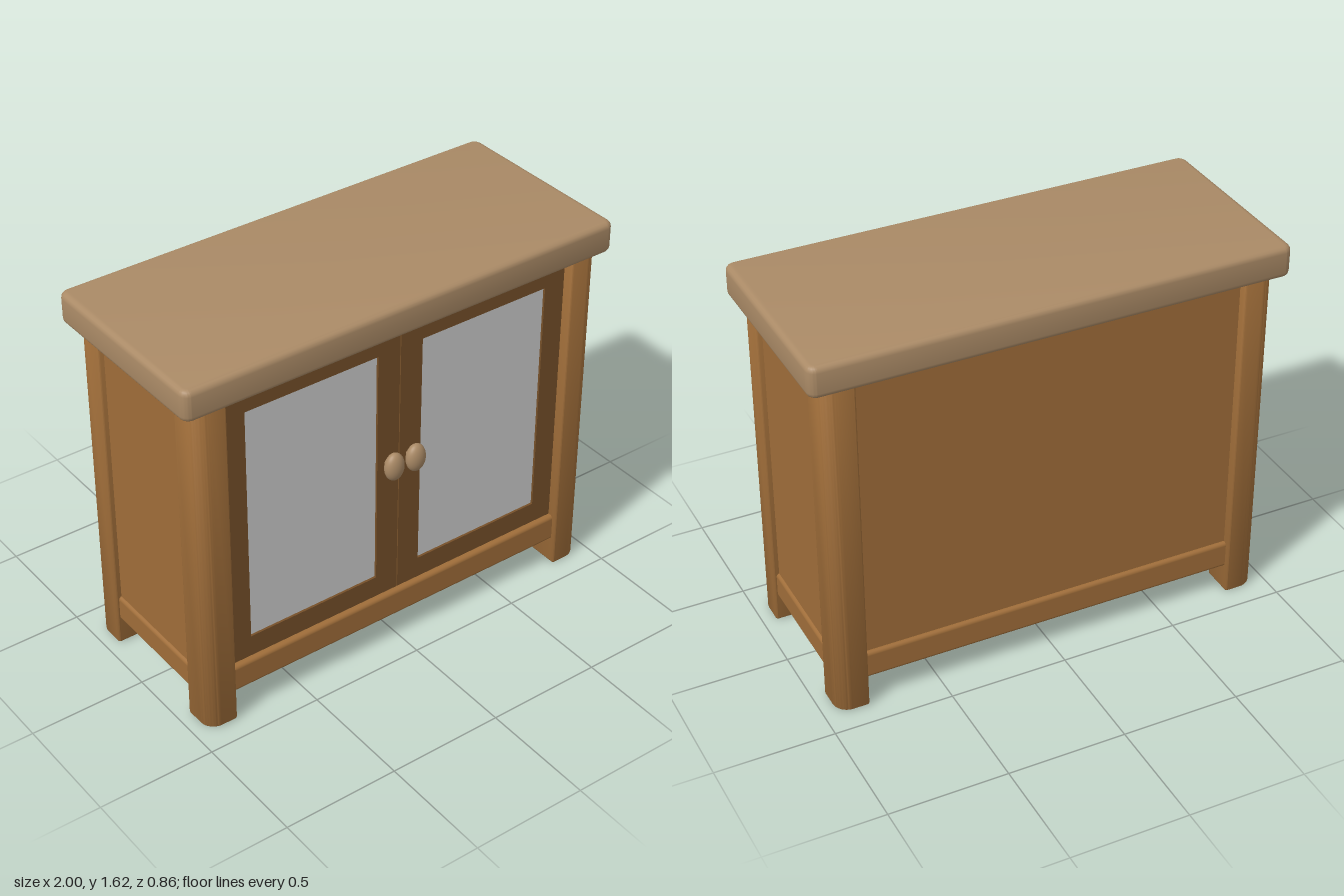
import * as THREE from 'three';
import { RoundedBoxGeometry } from 'three/addons/geometries/RoundedBoxGeometry.js';
import { toCreasedNormals } from 'three/addons/utils/BufferGeometryUtils.js';

const mat = (color) => new THREE.MeshStandardMaterial({ color });

// Upright slab standing on y = 0 with eased edges; radius(sx, sz) gives the plan radius of each corner
function slab(w, h, d, bevel, radius) {
  const shape = new THREE.Shape();
  [[1, 1], [-1, 1], [-1, -1], [1, -1]].forEach(([sx, sy], i) => {
    const r = radius(sx, -sy) - bevel;
    const x = sx * (w / 2 - bevel - r), y = sy * (d / 2 - bevel - r);
    shape.absarc(x, y, r, i * Math.PI / 2, (i + 1) * Math.PI / 2);
  });
  shape.closePath();
  const geometry = new THREE.ExtrudeGeometry(shape, {
    depth: h - 2 * bevel, bevelThickness: bevel, bevelSize: bevel, bevelSegments: 4, curveSegments: 8,
  });
  geometry.rotateX(-Math.PI / 2).translate(0, bevel, 0);
  return toCreasedNormals(geometry, 0.6);
}

export function createModel() {
  const group = new THREE.Group();
  const wood = mat(0x9f6d39), darkWood = mat(0x765029), topWood = mat(0xaa8a66), glass = mat(0xcccccc);

  function add(name, geometry, material, x, y, z) {
    const mesh = new THREE.Mesh(geometry, material);
    mesh.name = name;
    mesh.position.set(x, y, z);
    group.add(mesh);
    return mesh;
  }
  const box = (w, h, d) => new THREE.BoxGeometry(w, h, d);
  const softBox = (w, h, d, r) => new RoundedBoxGeometry(w, h, d, 4, r);

  // Thick worktop with softened edges
  add('worktop', slab(2, 0.133, 0.855, 0.024, () => 0.04), topWood, 0, 1.488, -0.004);

  // Four corner posts, each with a broad rounding on its outer corner
  for (const sx of [-1, 1]) {
    for (const sz of [-1, 1]) {
      const post = slab(0.135, 1.5, 0.146, 0.01, (cx, cz) => (cx === sx && cz === sz ? 0.064 : 0.012));
      add(`${sz > 0 ? 'front' : 'back'}${sx > 0 ? 'Left' : 'Right'}Post`, post, wood, sx * 0.8775, 0, sz * 0.329);
    }
  }

  // Lower rails between the posts, with the panels set slightly behind them
  for (const s of [-1, 1]) {
    add(s > 0 ? 'frontRail' : 'backRail', softBox(1.66, 0.122, 0.07, 0.016), wood, 0, 0.18, s * 0.347);
    add(s > 0 ? 'leftRail' : 'rightRail', softBox(0.07, 0.116, 0.54, 0.016), wood, s * 0.897, 0.177, 0);
    add(s > 0 ? 'leftPanel' : 'rightPanel', box(0.03, 1.26, 0.54), wood, s * 0.905, 0.86, 0);
  }
  add('backPanel', box(1.66, 1.26, 0.03), wood, 0, 0.86, -0.35);
  add('floorPanel', box(1.76, 0.08, 0.67), wood, 0, 0.18, 0);

  // Framed glass doors with oval knobs
  const frame = new THREE.Shape();
  frame.moveTo(0.002, 0.245).lineTo(0.806, 0.245).lineTo(0.806, 1.488).lineTo(0.002, 1.488).closePath();
  const opening = new THREE.Path();
  opening.moveTo(0.105, 0.34).lineTo(0.105, 1.393).lineTo(0.71, 1.393).lineTo(0.71, 0.34).closePath();
  frame.holes.push(opening);
  const frameGeo = new THREE.ExtrudeGeometry(frame, { depth: 0.04, bevelEnabled: false });
  const knobGeo = new THREE.SphereGeometry(1, 32, 20).scale(0.044, 0.062, 0.032);
  const stemGeo = new THREE.CylinderGeometry(0.018, 0.018, 0.05, 20).rotateX(Math.PI / 2);
  for (const s of [-1, 1]) {
    const side = s > 0 ? 'left' : 'right';
    // The second frame is the first one turned about its mid-depth
    const door = add(`${side}DoorFrame`, frameGeo, darkWood, 0, 0, s > 0 ? 0.321 : 0.361);
    if (s < 0) door.rotation.y = Math.PI;
    add(`${side}DoorGlass`, box(0.63, 1.08, 0.012), glass, s * 0.4075, 0.8665, 0.345);
    add(`${side}Knob`, knobGeo, topWood, s * 0.052, 0.888, 0.4);
    add(`${side}KnobStem`, stemGeo, topWood, s * 0.052, 0.888, 0.375);
  }
  return group;
}
